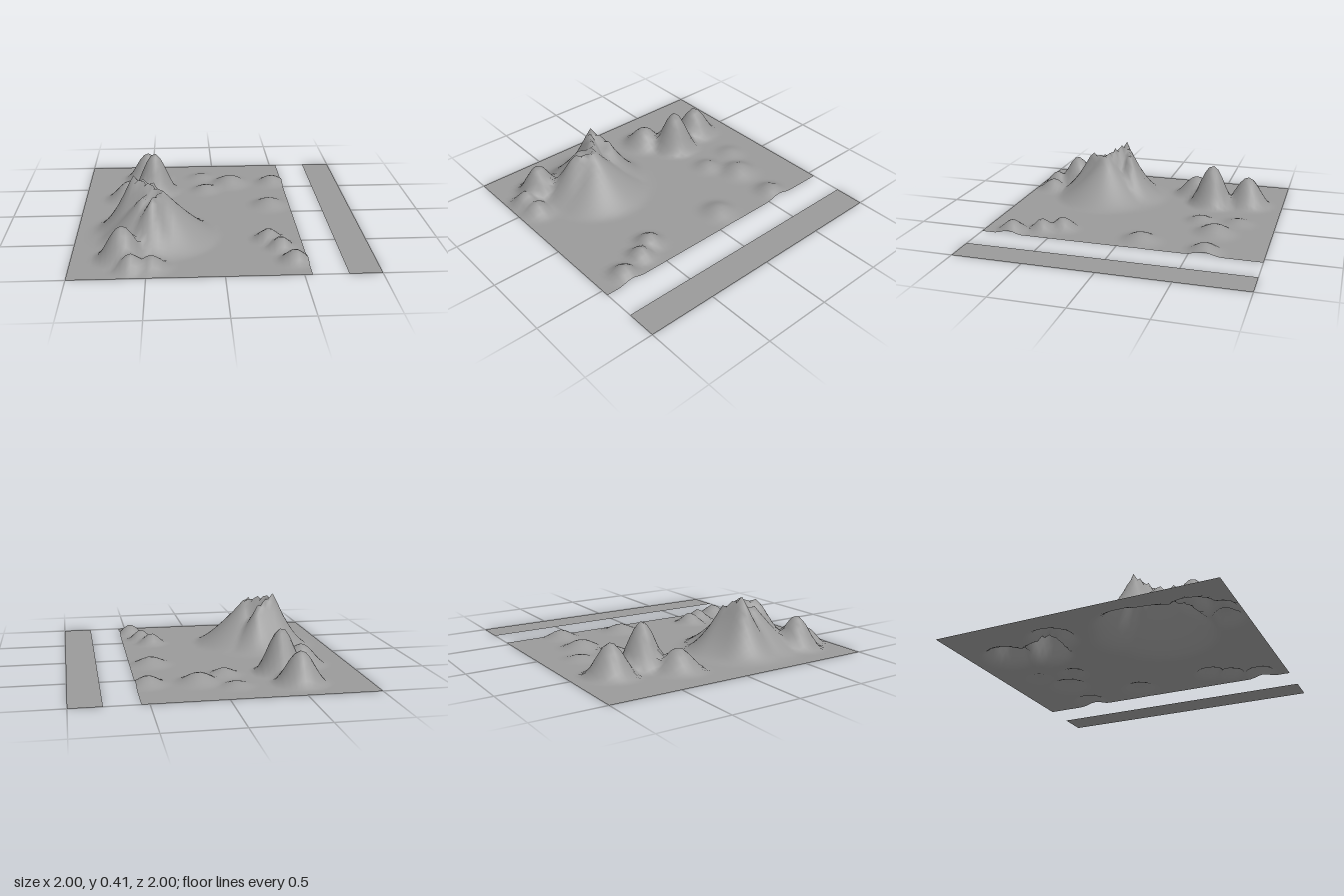
import * as THREE from 'three';

// Round hills: x, z, height, foot radius
const hills = [
  // front foothills
  [-0.66, 0.71, 0.23, 0.2],
  [-0.6, 0.87, 0.11, 0.14],
  [-0.47, 0.86, 0.085, 0.15],
  // back peaks
  [-0.47, -0.46, 0.31, 0.2],
  [-0.53, -0.73, 0.22, 0.2],
  [-0.66, -0.3, 0.15, 0.2],
  // low mounds
  [0.13, -0.6, 0.065, 0.18],
  [-0.07, -0.46, 0.045, 0.14],
  [-0.1, -0.73, 0.03, 0.14],
  [0.47, -0.6, 0.06, 0.15],
  [0.4, -0.13, 0.055, 0.17],
  [0.33, 0.47, 0.08, 0.13],
  [0.4, 0.6, 0.08, 0.12],
  [0.47, 0.8, 0.08, 0.13],
];

// Mountain crest: x, height, z of each point along the curving ridge
const crest = [
  [-0.46, 0.33, 0.2],
  [-0.6, 0.415, 0.27],
  [-0.47, 0.385, 0.34],
  [-0.4, 0.35, 0.4],
  [-0.47, 0.34, 0.52],
].map((p) => new THREE.Vector3(...p));

// Height of a concave flank at distance d from its top
const flank = (h, d, r, p) => h * Math.pow(Math.max(0, 1 - d / r), p);

function mountainAt(x, z) {
  // broad body and the pocket inside the crest
  let y = Math.max(
    flank(0.35, Math.hypot(x + 0.4, z - 0.38), 0.39, 1.3),
    flank(0.33, Math.hypot(x + 0.52, z - 0.42), 0.34, 1.3),
    flank(0.16, Math.hypot(x + 0.48, z - 0.34), 0.46, 1.5)
  );
  // crest, with the height running evenly from point to point
  for (let i = 1; i < crest.length; i++) {
    const a = crest[i - 1], b = crest[i];
    const dx = b.x - a.x, dz = b.z - a.z;
    const t = THREE.MathUtils.clamp(((x - a.x) * dx + (z - a.z) * dz) / (dx * dx + dz * dz), 0, 1);
    const d = Math.hypot(x - a.x - t * dx, z - a.z - t * dz);
    y = Math.max(y, flank(a.y + t * (b.y - a.y), d, 0.3, 1.7));
  }
  return y;
}

function heightAt(x, z) {
  let y = mountainAt(x, z);
  for (const [hx, hz, h, r] of hills) {
    const t = Math.min(1, Math.hypot(x - hx, z - hz) / r);
    y = Math.max(y, h * 0.5 * (1 + Math.cos(Math.PI * t)));
  }
  return y;
}

// Flat sheet between two x positions, running the full depth
function sheet(name, x0, x1, columns, rows, material) {
  const geometry = new THREE.PlaneGeometry(x1 - x0, 2, columns, rows);
  geometry.rotateX(-Math.PI / 2);
  geometry.translate((x0 + x1) / 2, 0, 0);
  const mesh = new THREE.Mesh(geometry, material);
  mesh.name = name;
  return mesh;
}

export function createModel() {
  const group = new THREE.Group();
  group.name = 'landscape';
  const material = new THREE.MeshStandardMaterial({ color: 0x9a9a9a, side: THREE.DoubleSide });

  // Hilly land, raised vertex by vertex
  const land = sheet('hillyGround', -1, 0.553, 46, 60, material);
  const pos = land.geometry.attributes.position;
  for (let i = 0; i < pos.count; i++) pos.setY(i, heightAt(pos.getX(i), pos.getZ(i)));
  land.geometry.computeVertexNormals();

  // Flat bank beyond the gap
  const bank = sheet('flatBank', 0.785, 1, 1, 1, material);

  group.add(land, bank);
  return group;
}
